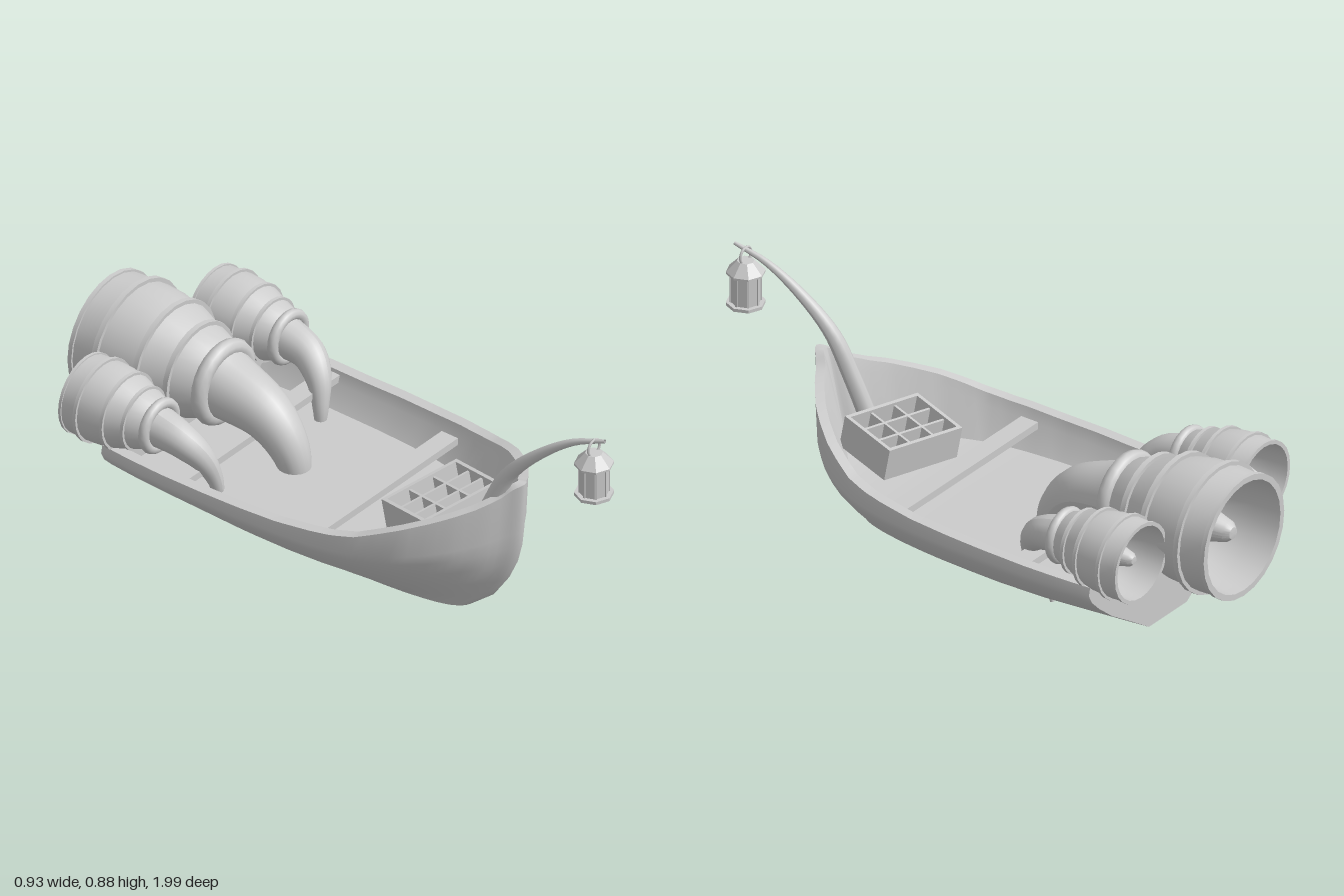
import * as THREE from 'three';
import { toCreasedNormals } from 'three/addons/utils/BufferGeometryUtils.js';

const grey = new THREE.MeshStandardMaterial({ color: 0xcccccc, side: THREE.DoubleSide });

function add(parent, name, geometry, x = 0, y = 0, z = 0) {
  const mesh = new THREE.Mesh(geometry, grey);
  mesh.name = name;
  mesh.position.set(x, y, z);
  parent.add(mesh);
  return mesh;
}

// Linear lookup in a table of [position, value] pairs
function at(table, t) {
  for (let i = 1; i < table.length; i++) {
    const [a, va] = table[i - 1], [b, vb] = table[i];
    if (t <= b) return va + (vb - va) * (t - a) / (b - a);
  }
  return table[table.length - 1][1];
}

// Tube along a curve whose radius follows a table
function taperedTube(points, radii, segments, sides) {
  const curve = new THREE.CatmullRomCurve3(points.map(p => new THREE.Vector3(...p)));
  const geo = new THREE.TubeGeometry(curve, segments, 1, sides);
  const pos = geo.attributes.position, v = new THREE.Vector3();
  for (let i = 0; i < pos.count; i++) {
    const t = Math.floor(i / (sides + 1)) / segments;
    const c = curve.getPointAt(t);
    v.fromBufferAttribute(pos, i).sub(c).multiplyScalar(at(radii, t)).add(c);
    pos.setXYZ(i, v.x, v.y, v.z);
  }
  geo.computeVertexNormals();
  return geo;
}

// Hull: lines running from stern to bow, lofted into outer skin, rim and inner skin
function hullGeometry() {
  const plan = [[0, .96], [.08, .985], [.18, 1], [.4, .995], [.51, .975], [.6, .94], [.66, .9], [.71, .85],
    [.76, .77], [.81, .67], [.86, .53], [.9, .4], [.95, .19], [.972, .07], [1, 0]];
  const sheer = [[0, .38], [.3, .383], [.51, .392], [.65, .408], [.71, .422], [.8, .465], [.87, .498], [.93, .53],
    [.965, .558], [.985, .588], [1, .6]];
  const rise = [[0, .039], [.35, .006], [.5, 0], [1, 0]];
  const line = (w, end, z0, z1, height) => ({ w, end, z0, z1, height });
  const up = (a, b, lift) => u => a + (b - a) * u ** 8 + lift * at(rise, u);
  const lines = [
    line(0, 0, -.7, .47, up(.061, .076, 1)),
    line(.1, .055, -.7, .47, up(.061, .076, 1)),
    line(.2, .045, -.7, .545, up(.133, .135, .8)),
    line(.3, .04, -.7, .6, up(.207, .215, .5)),
    line(.37, .036, -.7, .635, up(.275, .29, .2)),
    line(.41, .033, -.7, .653, up(.322, .36, 0)),
    line(.426, .032, -.7, .66, up(.352, .42, 0)),
    line(.42, .032, -.7, .67, u => at(sheer, u)),
    line(.382, .022, -.66, .64, u => at(sheer, u)),
    line(.37, .02, -.66, .625, u => at(sheer, u) - .04),
    line(.32, .015, -.66, .56, up(.28, .32, 0)),
    line(0, 0, -.66, .56, up(.28, .32, 0)),
  ];
  const N = 48, C = lines.length, pos = [], index = [];
  for (const s of [1, -1]) {
    const base = pos.length / 3;
    // the first row folds onto the centre plane as the transom, the last rows round off the stem
    for (let i = -1; i <= N; i++) {
      const u = 1 - (1 - Math.max(i, 0) / N) ** 1.5, f = at(plan, u);
      const open = i < 0 ? 0 : Math.sqrt(1 - u ** 45);
      for (const l of lines) {
        pos.push(s * open * (l.end + (l.w - l.end) * f), l.height(u), l.z0 + (l.z1 - l.z0) * u);
      }
    }
    for (let i = 0; i < N + 1; i++) for (let j = 0; j < C - 1; j++) {
      const a = base + i * C + j, b = a + 1, c = a + C, d = c + 1;
      if (s > 0) index.push(a, b, d, a, d, c);
      else index.push(a, d, b, a, c, d);
    }
  }
  const geo = new THREE.BufferGeometry();
  geo.setAttribute('position', new THREE.Float32BufferAttribute(pos, 3));
  geo.setIndex(index);
  return toCreasedNormals(geo, .75);
}

// Jet engine: banded barrel, open nozzle and inner cone in one lathe, nozzle towards -z
function engine(parent, name, x, y, k) {
  const g = new THREE.Group();
  g.name = name;
  g.position.set(x, y, -.54);
  g.scale.setScalar(k);
  parent.add(g);
  const band = (r, z, h = .009, out = .013) => [[r, z - h], [r + out, z - h], [r + out, z + h], [r, z + h]];
  const profile = [
    [.1, -.02], [.128, .02], ...band(.155, .1), [.178, .16], ...band(.19, .2), [.203, .27],
    ...band(.207, .35), [.203, .44], [.21, .44], [.21, .455], [.19, .455],
    [.185, .36], [.155, .22], [.125, .12], [.1, .13], [.085, .2], [.035, .395], [.02, .413], [0, .416],
  ].map(p => new THREE.Vector2(...p));
  const barrel = new THREE.LatheGeometry(profile, 24).rotateX(-Math.PI / 2);
  add(g, 'engineBarrel', toCreasedNormals(barrel, .5));
  add(g, 'engineCollar', new THREE.TorusGeometry(.118, .028, 10, 24));
}

function lantern(parent) {
  const g = new THREE.Group();
  g.name = 'lantern';
  g.position.set(.018, 0, .932);
  parent.add(g);
  const prism = (name, top, bottom, y0, y1) =>
    add(g, name, new THREE.CylinderGeometry(top, bottom, y1 - y0, 8).toNonIndexed(), 0, (y0 + y1) / 2)
      .geometry.computeVertexNormals();
  prism('lanternBase', .063, .063, .665, .676);
  prism('lanternGlass', .048, .048, .676, .782);
  prism('lanternEave', .063, .063, .778, .785);
  prism('lanternRoof', .028, .063, .785, .822);
  for (let i = 0; i < 8; i++) {
    const a = i * Math.PI / 4;
    add(g, 'lanternPost', new THREE.BoxGeometry(.007, .106, .007), .047 * Math.sin(a), .729, .047 * Math.cos(a))
      .rotation.y = a;
  }
  add(g, 'lanternRing', new THREE.TorusGeometry(.028, .0045, 6, 16), 0, .84);
}

// Open crate with a 3 x 3 grid of compartments
function crate(parent) {
  const g = new THREE.Group();
  g.name = 'crate';
  g.position.set(0, .385, .34);
  g.rotation.set(-.14, -.23, .06);
  parent.add(g);
  const W = .3, D = .22, H = .105;
  add(g, 'crateBottom', new THREE.BoxGeometry(W, .01, D), 0, -H / 2);
  for (let i = 0; i < 4; i++) {
    const edge = i % 3 === 0, t = edge ? .013 : .009, h = edge ? H : H - .01, y = edge ? 0 : -.005;
    add(g, 'crateCrosswall', new THREE.BoxGeometry(t, h, D), (i / 3 - .5) * (W - .013), y);
    add(g, 'crateLongwall', new THREE.BoxGeometry(W, h, t), 0, y, (i / 3 - .5) * (D - .013));
  }
}

export function createModel() {
  const model = new THREE.Group();
  model.name = 'jetBoat';

  add(model, 'hull', hullGeometry());

  // Bench planks, each with a rail below
  for (const [z, w, x] of [[-.412, .77, 0], [.097, .68, -.005]]) {
    add(model, 'bench', new THREE.BoxGeometry(w, .025, .065), x, .358, z);
    add(model, 'benchRail', new THREE.BoxGeometry(w - .03, .02, .025), x, .338, z);
  }

  // Engines with their curved horn intakes
  engine(model, 'mainEngine', -.003, .477, 1);
  add(model, 'mainHorn', taperedTube(
    [[.01, 0, -.257], [.01, .07, -.247], [.003, .2, -.245], [0, .33, -.272], [0, .425, -.362], [0, .477, -.55]],
    [[0, .007], [.11, .015], [.3, .04], [.52, .065], [.73, .088], [1, .115]], 32, 18));
  for (const s of [1, -1]) {
    engine(model, 'sideEngine', s * .32, .477, .65);
    add(model, 'sideHorn', taperedTube(
      [[s * .25, .24, -.355], [s * .262, .32, -.362], [s * .288, .4, -.392], [s * .314, .455, -.455], [s * .32, .477, -.55]],
      [[0, .015], [.3, .03], [.6, .05], [1, .068]], 22, 16));
  }

  crate(model);

  // Bent pole carrying the lantern over the bow
  add(model, 'lanternPole', taperedTube(
    [[-.065, .35, .51], [-.045, .5, .565], [-.03, .64, .632], [-.012, .755, .745], [.008, .835, .86], [.026, .875, .97]],
    [[0, .03], [.35, .028], [.7, .016], [1, .006]], 24, 10));
  lantern(model);

  return model;
}
